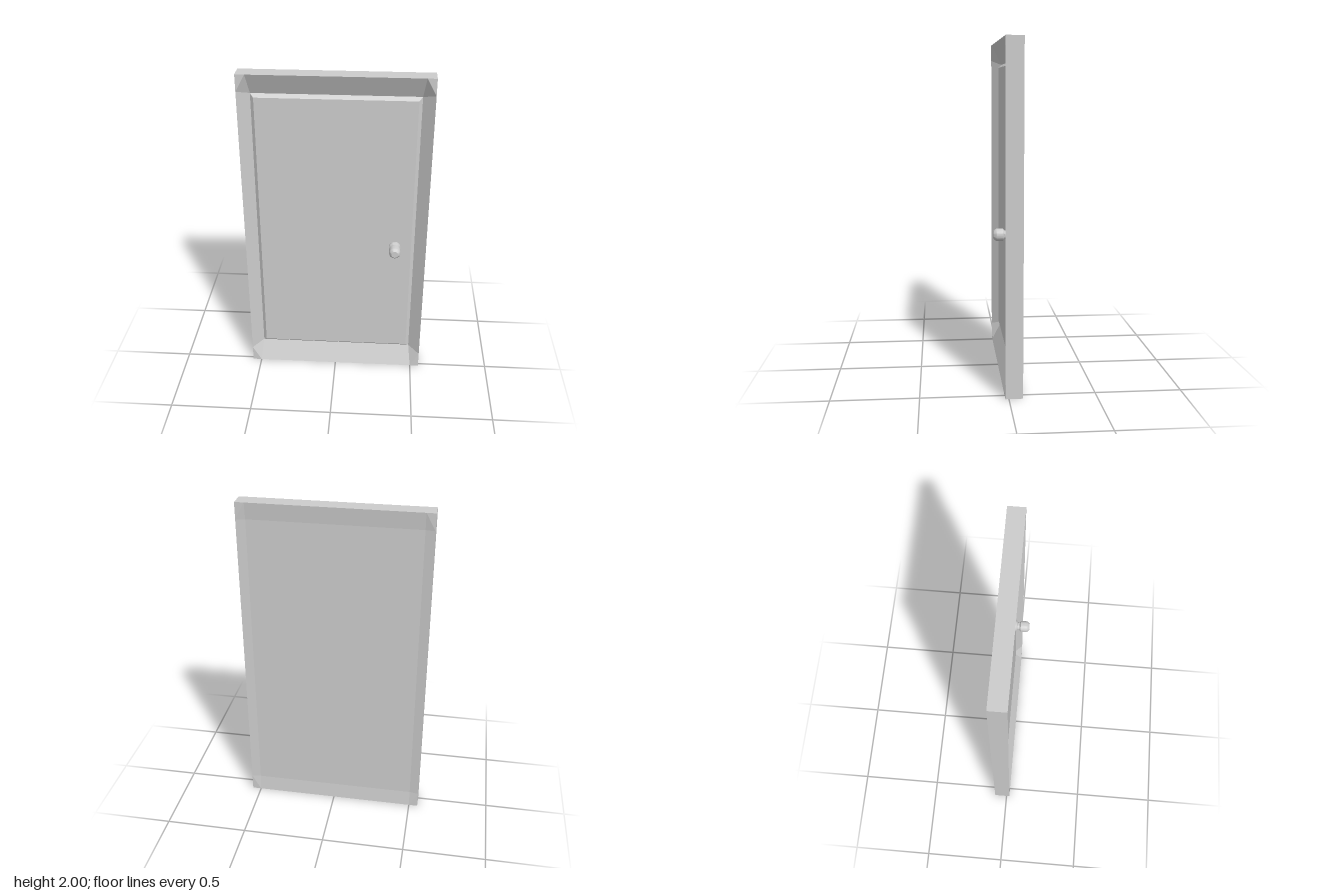
import * as THREE from 'three';
import { toCreasedNormals } from 'three/addons/utils/BufferGeometryUtils.js';

const W = 0.555, H = 2, FRONT = 0.02, BACK = -0.08;

// Four corners of an upright rectangle, counter-clockwise seen from the front
const rect = (w, y0, y1, z) =>
  [[-w, y0, z], [w, y0, z], [w, y1, z], [-w, y1, z]].map(p => new THREE.Vector3(...p));

// Flat-faced geometry from a list of convex polygons
function polygons(faces) {
  const points = [];
  for (const f of faces)
    for (let i = 1; i < f.length - 1; i++) points.push(f[0], f[i], f[i + 1]);
  const geometry = new THREE.BufferGeometry().setFromPoints(points);
  geometry.computeVertexNormals();
  return geometry;
}

// Quads joining two four-cornered loops
const band = (a, b) => a.map((p, i) => [p, a[(i + 1) % 4], b[(i + 1) % 4], b[i]]);

// Sloping border from the outer edge to an inner rectangle, with chamfered corners
function border(inner, z) {
  const corners = rect(W, 0, H, z);
  const ring = [
    [-0.5, 0], [0.5, 0], [W, 0.1], [W, 1.9], [0.5, H], [-0.5, H], [-W, 1.9], [-W, 0.1],
  ].map(([x, y]) => new THREE.Vector3(x, y, z));
  const faces = [];
  for (let i = 0; i < 4; i++) {
    const j = (i + 1) % 4, a = ring[2 * i + 1], b = ring[(2 * i + 2) % 8];
    faces.push([ring[2 * i], a, inner[j], inner[i]], [a, b, inner[j]], [a, corners[j], b]);
  }
  return faces;
}

export function createModel() {
  const group = new THREE.Group();
  const grey = new THREE.MeshStandardMaterial({ color: 0xcccccc });
  grey.name = 'light grey';
  const add = (name, geometry) => {
    const mesh = new THREE.Mesh(geometry, grey);
    mesh.name = name;
    group.add(mesh);
    return mesh;
  };

  // Frame: sloping front border and straight outer sides
  const recess = rect(0.485, 0.127, 1.873, -0.04);
  add('frame', polygons([
    ...border(recess, FRONT),
    ...band(rect(W, 0, H, BACK), rect(W, 0, H, FRONT)),
  ]));

  // Raised door panel with bevelled edges
  const panel = rect(0.465, 0.147, 1.853, -0.02);
  add('doorPanel', polygons([...band(recess, panel), panel]));

  // Slightly dished back
  const dish = rect(0.5, 0.1, 1.9, -0.07);
  add('back', polygons([...border(dish, BACK), dish].map(f => [...f].reverse())));

  // Knob: base plate, neck and rounded grip, turned about the z axis
  const profile = [
    [0.036, -0.022], [0.036, -0.008], [0.025, -0.002], [0.025, 0.01], [0.035, 0.018],
    [0.035, 0.055], [0.031, 0.063], [0.021, 0.073], [0, 0.073],
  ].map(([r, z]) => new THREE.Vector2(r, z));
  const knob = add('knob', toCreasedNormals(new THREE.LatheGeometry(profile, 24), 0.5));
  knob.rotation.x = Math.PI / 2;
  knob.position.set(0.365, 0.903, 0);

  return group;
}
